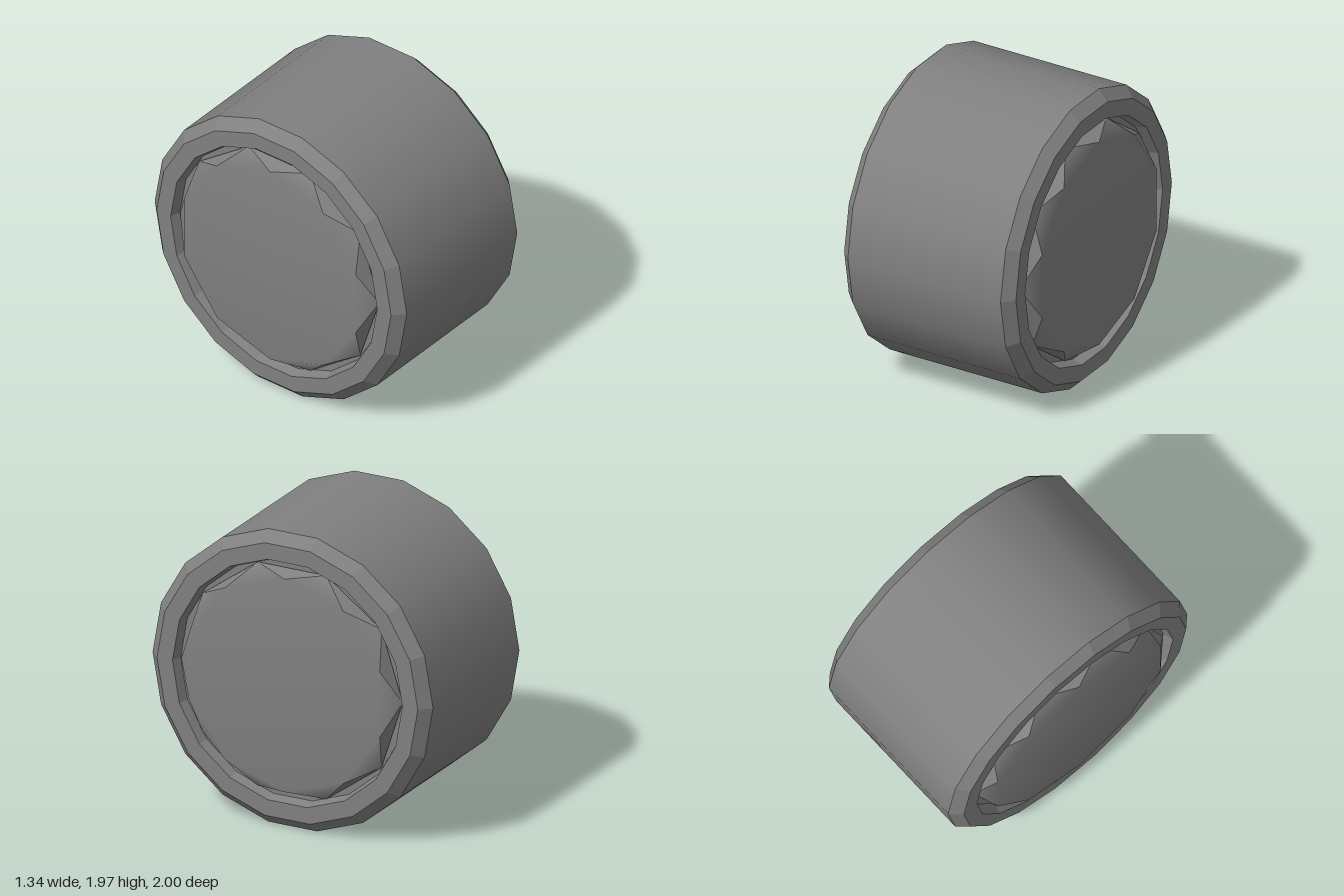
import * as THREE from 'three';

const SIDES = 18, POINTS = 10;

// Turns a profile of [radius, x] pairs around the x axis
function turned(profile, flat) {
  const points = profile.map(([r, x]) => new THREE.Vector2(r, x));
  let geometry = new THREE.LatheGeometry(points, SIDES).rotateZ(-Math.PI / 2);
  if (flat) {
    geometry = geometry.toNonIndexed();
    geometry.computeVertexNormals();
  }
  return geometry;
}

function ringPoint(radius, x, step) {
  const a = (step * Math.PI) / POINTS;
  return [x, radius * Math.sin(a), radius * Math.cos(a)];
}

// Smooth cap: raised ten-sided face with sunken star points
function capGeometry() {
  const positions = [0.67, 0, 0], index = [];
  const n = POINTS * 2;
  for (let i = 0; i < n; i++) {
    positions.push(...(i % 2 ? ringPoint(0.715, 0.67, i) : ringPoint(0.79, 0.57, i)));
  }
  for (let i = 1; i < n; i += 2) {
    const a = i + 1, tip = ((i + 1) % n) + 1, b = ((i + 2) % n) + 1;
    index.push(0, b, a, a, b, tip);
  }
  const geometry = new THREE.BufferGeometry();
  geometry.setAttribute('position', new THREE.Float32BufferAttribute(positions, 3));
  geometry.setIndex(index);
  geometry.computeVertexNormals();
  return geometry;
}

// Flat triangles filling the notches between star points
function notchGeometry() {
  const positions = [];
  for (let i = 1; i < POINTS * 2; i += 2) {
    positions.push(
      ...ringPoint(0.715, 0.67, i),
      ...ringPoint(0.79, 0.57, i + 1),
      ...ringPoint(0.79, 0.57, i - 1)
    );
  }
  const geometry = new THREE.BufferGeometry();
  geometry.setAttribute('position', new THREE.Float32BufferAttribute(positions, 3));
  geometry.computeVertexNormals();
  return geometry;
}

export function createModel() {
  const grey = new THREE.MeshStandardMaterial({ color: 0x808080 });
  grey.name = 'grey';

  const wheel = new THREE.Group();
  wheel.name = 'wheel';
  const add = (parent, name, geometry) => {
    const mesh = new THREE.Mesh(geometry, grey);
    mesh.name = name;
    parent.add(mesh);
  };

  // Smooth rolling surface
  add(wheel, 'tread', turned([[1, -0.56], [1, 0.56]], false));

  // Faceted bevel, side wall, recess and hub cap on each side
  const rim = turned([[1, 0.56], [0.93, 0.63], [0.82, 0.63], [0.8, 0.56], [0.6, 0.56]], true);
  const cap = capGeometry(), notches = notchGeometry();
  for (const side of ['left', 'right']) {
    const half = new THREE.Group();
    half.name = side + 'Side';
    add(half, side + 'Rim', rim);
    add(half, side + 'HubCap', cap);
    add(half, side + 'HubNotches', notches);
    if (side === 'right') half.rotation.y = Math.PI;
    wheel.add(half);
  }

  // Rest the lowest flat on the ground
  wheel.position.y = Math.cos(Math.PI / SIDES);

  const model = new THREE.Group();
  model.name = 'model';
  model.add(wheel);
  return model;
}
